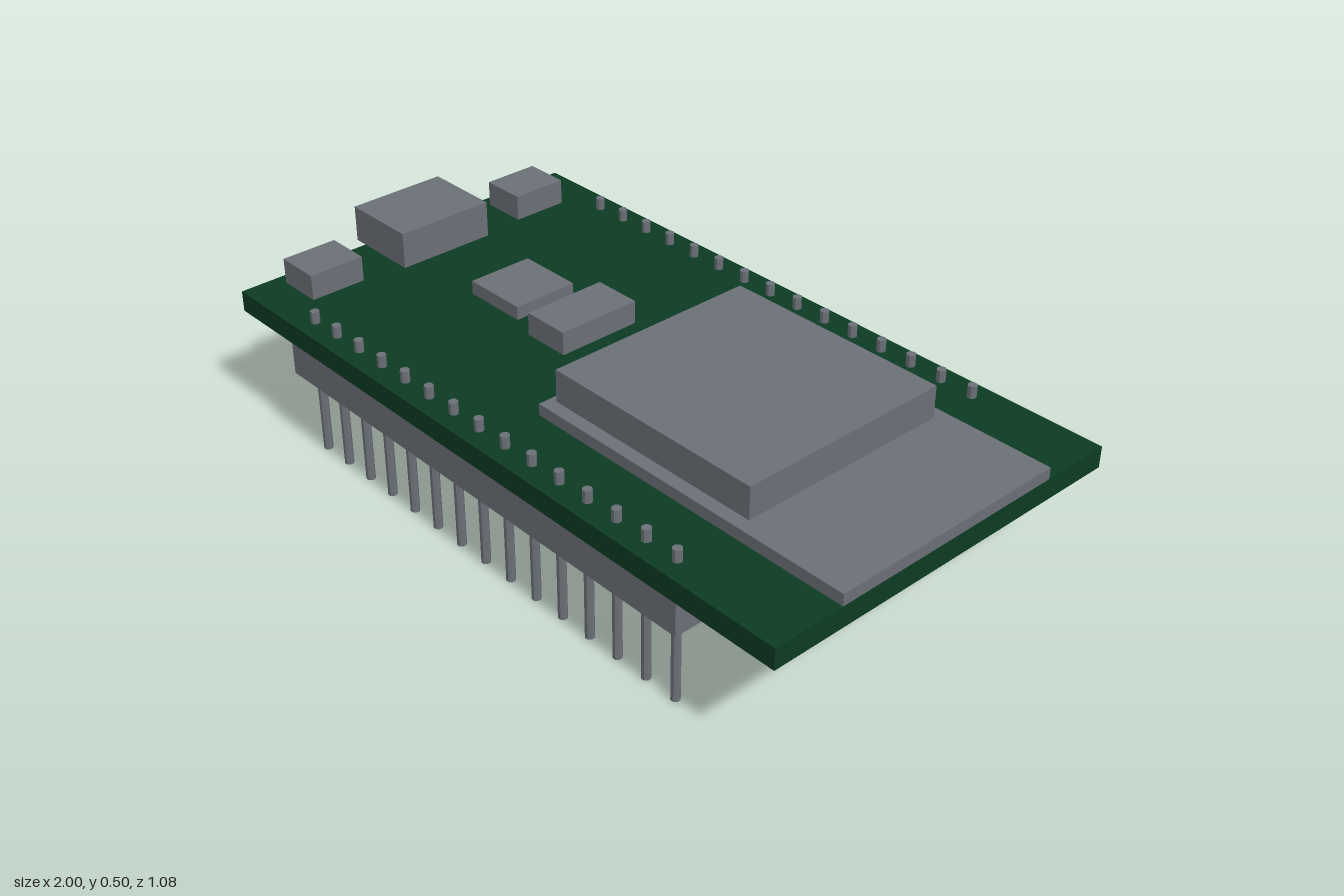
import * as THREE from 'three';

export function createModel() {
  const model = new THREE.Group();
  model.name = 'microcontrollerBoard';

  const green = new THREE.MeshStandardMaterial({ color: 0x0d3b22 });
  green.name = 'board green';
  const grey = new THREE.MeshStandardMaterial({ color: 0x6c7178 });
  grey.name = 'component grey';

  // Box given by its limits on each axis
  function block(name, material, [x0, x1], [y0, y1], [z0, z1], parent = model) {
    const mesh = new THREE.Mesh(new THREE.BoxGeometry(x1 - x0, y1 - y0, z1 - z0), material);
    mesh.position.set((x0 + x1) / 2, (y0 + y1) / 2, (z0 + z1) / 2);
    mesh.name = name;
    parent.add(mesh);
  }

  // Circuit board
  const under = 0.327, top = 0.385;
  block('circuitBoard', green, [-0.962, 1], [under, top], [-0.5375, 0.5375]);

  // Radio module: thin carrier with a raised metal shield
  block('radioCarrier', grey, [0.027, 1], [top, 0.417], [-0.34, 0.34]);
  block('radioShield', grey, [0.047, 0.69], [0.417, 0.505], [-0.303, 0.303]);

  // Connector and chips along the centre line
  block('usbConnector', grey, [-1, -0.779], [top, 0.487], [-0.142, 0.142]);
  block('squareChip', grey, [-0.545, -0.358], [top, 0.423], [-0.094, 0.094]);
  block('regulatorChip', grey, [-0.281, -0.145], [top, 0.449], [-0.12, 0.12]);

  // Mirrored push buttons and pin headers
  const pinCount = 15, pitch = 0.0968, rowCentre = -0.019, pinTop = 0.418;
  const pinGeometry = new THREE.CylinderGeometry(0.0125, 0.0125, pinTop, 8)
    .rotateY(Math.PI / 8).toNonIndexed();
  pinGeometry.computeVertexNormals();

  for (const side of [-1, 1]) {
    const label = side > 0 ? 'front' : 'back';
    const z = side * 0.344;
    block(label + 'Button', grey, [-0.925, -0.797], [top, 0.456], [z - 0.08, z + 0.08]);

    const header = new THREE.Group();
    header.name = label + 'PinHeader';
    model.add(header);
    const row = side * 0.484;
    block('headerStrip', grey, [-0.744, 0.706], [0.231, under], [row - 0.048, row + 0.048], header);
    for (let i = 0; i < pinCount; i++) {
      const pin = new THREE.Mesh(pinGeometry, grey);
      pin.position.set(rowCentre + (i - (pinCount - 1) / 2) * pitch, pinTop / 2, row);
      pin.name = 'pin' + (i + 1);
      header.add(pin);
    }
  }
  return model;
}
